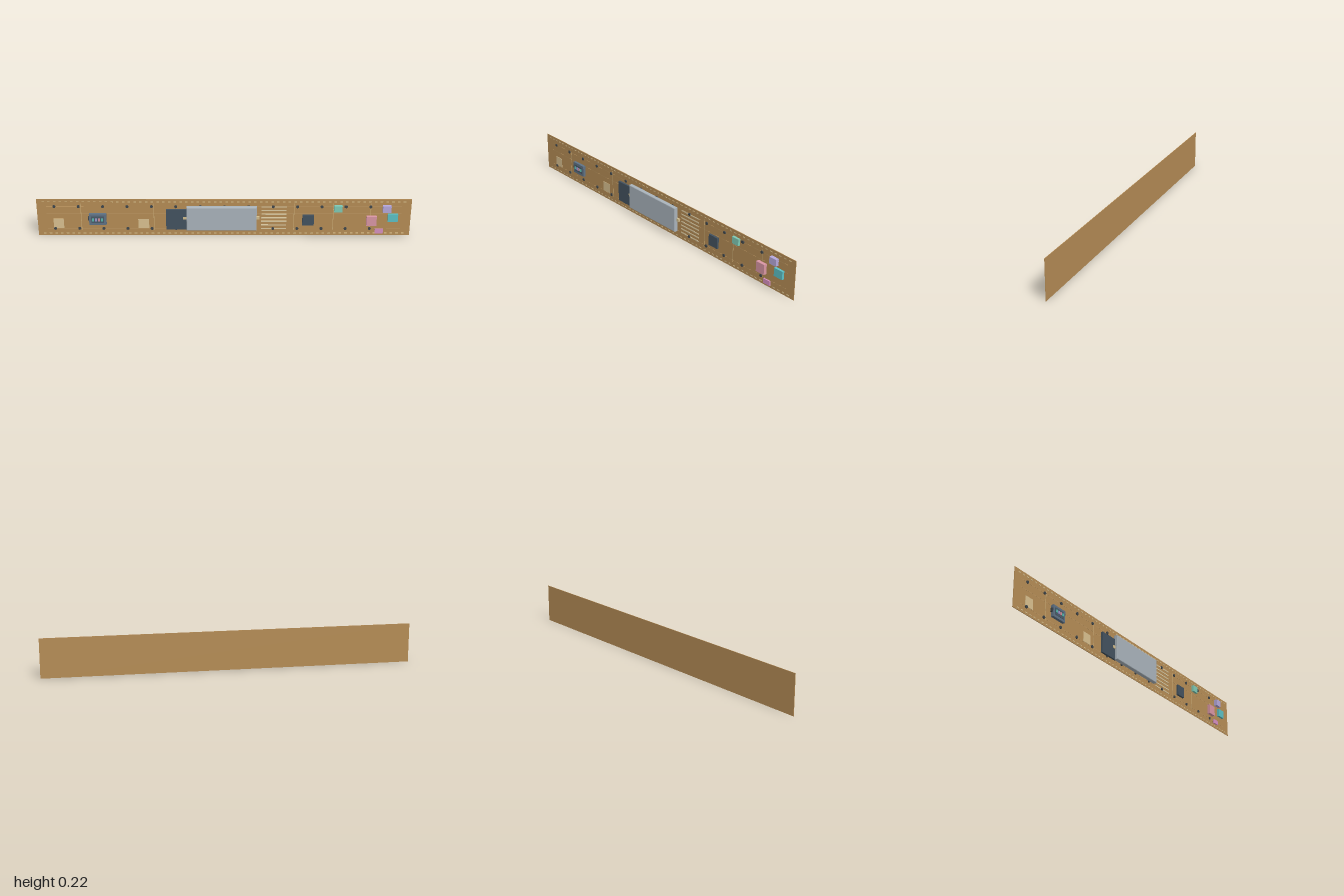
import * as THREE from 'three';

const BOARD_FRONT = -0.0115;

export function createModel() {
  const model = new THREE.Group();
  const mats = {};
  const mat = (color) => (mats[color] ??= new THREE.MeshStandardMaterial({ color }));

  // Box given by its extents, x0..x1, y0..y1, z0..z1
  function box(name, color, x0, x1, y0, y1, z1, z0 = BOARD_FRONT, parent = model) {
    const mesh = new THREE.Mesh(new THREE.BoxGeometry(x1 - x0, y1 - y0, z1 - z0), mat(color));
    mesh.position.set((x0 + x1) / 2, (y0 + y1) / 2, (z0 + z1) / 2);
    mesh.name = name;
    parent.add(mesh);
    return mesh;
  }

  // Box whose front edges are chamfered
  function chamferedBox(name, color, x0, x1, y0, y1, z0, z1, bevel) {
    const w = (x1 - x0) / 2 - bevel, h = (y1 - y0) / 2 - bevel;
    const shape = new THREE.Shape([[-w, -h], [w, -h], [w, h], [-w, h]].map(([x, y]) => new THREE.Vector2(x, y)));
    const geo = new THREE.ExtrudeGeometry(shape, {
      depth: z1 - z0 - 2 * bevel, bevelEnabled: true, bevelSize: bevel, bevelThickness: bevel, bevelSegments: 2,
    });
    const mesh = new THREE.Mesh(geo, mat(color));
    mesh.position.set((x0 + x1) / 2, (y0 + y1) / 2, z0 + bevel);
    mesh.name = name;
    model.add(mesh);
  }

  function group(name) {
    const g = new THREE.Group();
    g.name = name;
    model.add(g);
    return g;
  }

  // Long thin board
  box('board', 0xb58c55, -1, 1, 0, 0.215, BOARD_FRONT, -0.0145);

  // Stitched dashes along both long edges
  const stitches = group('edgeStitches');
  for (let i = 0; i < 64; i++) {
    const x = -0.965 + i * 0.0306;
    for (const y of [0.012, 0.2]) box('stitch', 0xd9c08c, x - 0.007, x + 0.007, y - 0.0025, y + 0.0025, -0.0105, BOARD_FRONT, stitches);
  }

  // Fine seams running along and across the board
  const seams = group('seams');
  for (const y of [0.04, 0.129, 0.172]) box('longSeam', 0xc09a64, -0.95, 0.95, y - 0.001, y + 0.001, -0.011, BOARD_FRONT, seams);
  for (const x of [-0.765, -0.375, 0.375, 0.585, 0.785]) box('crossSeam', 0xcfb079, x - 0.0015, x + 0.0015, 0.03, 0.19, -0.0108, BOARD_FRONT, seams);

  // Two rows of dark studs
  const studs = group('studs');
  const studGeo = new THREE.CylinderGeometry(0.008, 0.008, 0.005, 12).rotateX(Math.PI / 2);
  for (let i = 0; i < 14; i++) {
    for (const y of [0.041, 0.172]) {
      const stud = new THREE.Mesh(studGeo, mat(0x3f464b));
      stud.name = 'stud';
      stud.position.set(-0.907 + i * 0.13, y, -0.009);
      studs.add(stud);
    }
  }

  // Comb of light horizontal traces right of the main housing
  const traces = group('traces');
  for (let i = 0; i < 7; i++) {
    const y = 0.041 + i * 0.0215;
    box('trace', 0xdccba3, 0.2, 0.335, y - 0.003, y + 0.003, -0.0095, BOARD_FRONT, traces);
  }

  // Pale flat pads
  box('leftPad', 0xd9c08f, -0.915, -0.86, 0.043, 0.098, -0.0095);
  box('rightPad', 0xd9c08f, -0.46, -0.402, 0.043, 0.098, -0.0095);

  // Main housing with its dark base plate and end tabs
  box('basePlate', 0x43525f, -0.31, -0.19, 0.04, 0.156, 0.0);
  chamferedBox('mainHousing', 0xa9b3bb, -0.2, 0.175, 0.04, 0.178, -0.0085, 0.0145, 0.004);
  box('housingFoot', 0x8b959d, -0.19, 0.165, 0.05, 0.168, -0.008);
  box('leftTab', 0xd2bd8d, -0.218, -0.195, 0.1, 0.116, 0.003);
  box('rightTab', 0xd2bd8d, 0.165, 0.19, 0.1, 0.116, 0.001);

  // Control module with a row of coloured buttons
  box('controlModule', 0x5f7285, -0.722, -0.63, 0.068, 0.132, 0.004);
  box('controlPanel', 0x4a5a68, -0.71, -0.642, 0.082, 0.12, 0.006);
  box('controlPlug', 0x3f464b, -0.728, -0.718, 0.093, 0.113, 0.002);
  [0x58b9ae, 0x9d94d0, 0xd28c9b, 0x58b9ae].forEach((color, i) => {
    const x = -0.7 + i * 0.016;
    box('button', color, x - 0.0055, x + 0.0055, 0.094, 0.109, 0.0105, 0.005);
  });

  // Separate chips: colour, x range, y range, front and rear z
  const chips = [
    ['darkChip', 0x43525f, 0.42, 0.482, 0.063, 0.124, 0.0],
    ['greenChip', 0x7fcab5, 0.588, 0.632, 0.144, 0.181, 0.002],
    ['purpleChip', 0xb5a8dc, 0.847, 0.892, 0.144, 0.181, 0.007],
    ['cyanChip', 0x5cc0c4, 0.877, 0.931, 0.086, 0.131, 0.002],
    ['pinkChip', 0xd996a4, 0.763, 0.817, 0.064, 0.12, 0.007],
    ['magentaChip', 0xd68fc0, 0.811, 0.855, 0.019, 0.044, 0.004, -0.003],
  ];
  for (const chip of chips) box(...chip);

  // Small dark block beside the green chip
  box('smallBlock', 0x3f464b, 0.643, 0.658, 0.165, 0.178, -0.007);
  // Short post that carries the raised chip
  box('chipPost', 0x8b6f47, 0.822, 0.844, 0.026, 0.038, -0.003);

  return model;
}
